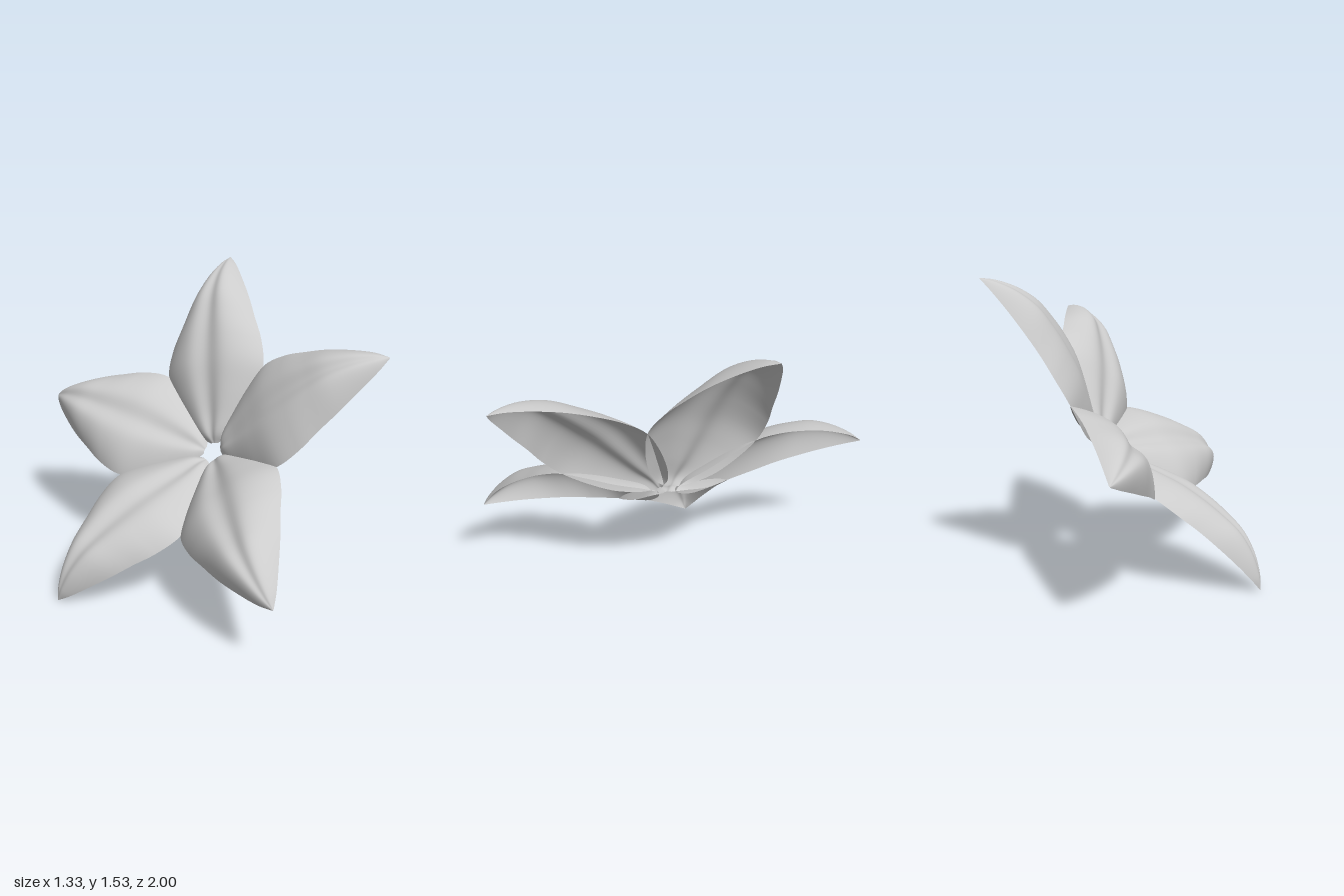
import * as THREE from 'three';
import { ParametricGeometry } from 'three/addons/geometries/ParametricGeometry.js';

// Stations along one petal: [distance from axis, half width, rim height, crown height]
const STATIONS = [
  [0.05, 0.02, 0.0, 0.005],
  [0.09, 0.10, 0.008, 0.05],
  [0.18, 0.185, 0.03, 0.10],
  [0.30, 0.258, 0.078, 0.165],
  [0.42, 0.297, 0.125, 0.222],
  [0.55, 0.276, 0.157, 0.262],
  [0.67, 0.228, 0.18, 0.286],
  [0.79, 0.178, 0.194, 0.298],
  [0.91, 0.115, 0.2, 0.277],
  [1.01, 0.055, 0.198, 0.235],
  [1.073, 0.003, 0.19, 0.192],
];

// Curved petal: rims turn down, with a soft groove along the middle that fades to the tip
function petalGeometry() {
  const spine = new THREE.CatmullRomCurve3(STATIONS.map(([r, w]) => new THREE.Vector3(r, w, 0)));
  const heights = new THREE.CatmullRomCurve3(STATIONS.map(([, , e, c]) => new THREE.Vector3(e, c, 0)));
  // same curve type and spacing, so both share one parameter
  spine.curveType = heights.curveType = 'catmullrom';
  const a = new THREE.Vector3(), b = new THREE.Vector3();
  return new ParametricGeometry((u, v, out) => {
    spine.getPoint(u, a);
    heights.getPoint(u, b);
    const s = 2 * v - 1;
    const groove = 0.3 * (1 - 0.7 * u * u) * Math.exp(-((s / 0.24) ** 2));
    const arch = (1 - Math.abs(s) ** 2.2 - groove) / 0.88;
    out.set(a.x, b.x + (b.y - b.x) * arch, -s * a.y);
  }, 48, 32);
}

export function createModel() {
  const model = new THREE.Group();
  model.name = 'flower';

  // Tilted blossom frame: axis is the facing direction, first points along one petal
  const axis = new THREE.Vector3(-0.751, 0.659, 0.049).normalize();
  const first = new THREE.Vector3(0.471, 0.484, 0.742);
  first.addScaledVector(axis, -first.dot(axis)).normalize();
  const side = new THREE.Vector3().crossVectors(first, axis);

  const blossom = new THREE.Group();
  blossom.name = 'blossom';
  blossom.quaternion.setFromRotationMatrix(new THREE.Matrix4().makeBasis(first, axis, side));
  blossom.position.set(0.179, 0.667, 0.057);
  model.add(blossom);

  // Five equal petals around the axis
  const geometry = petalGeometry();
  const material = new THREE.MeshStandardMaterial({ color: 0xcccccc, side: THREE.DoubleSide });
  for (let i = 0; i < 5; i++) {
    const petal = new THREE.Mesh(geometry, material);
    petal.name = `petal${i + 1}`;
    petal.rotation.y = (i * Math.PI * 2) / 5;
    blossom.add(petal);
  }
  return model;
}
